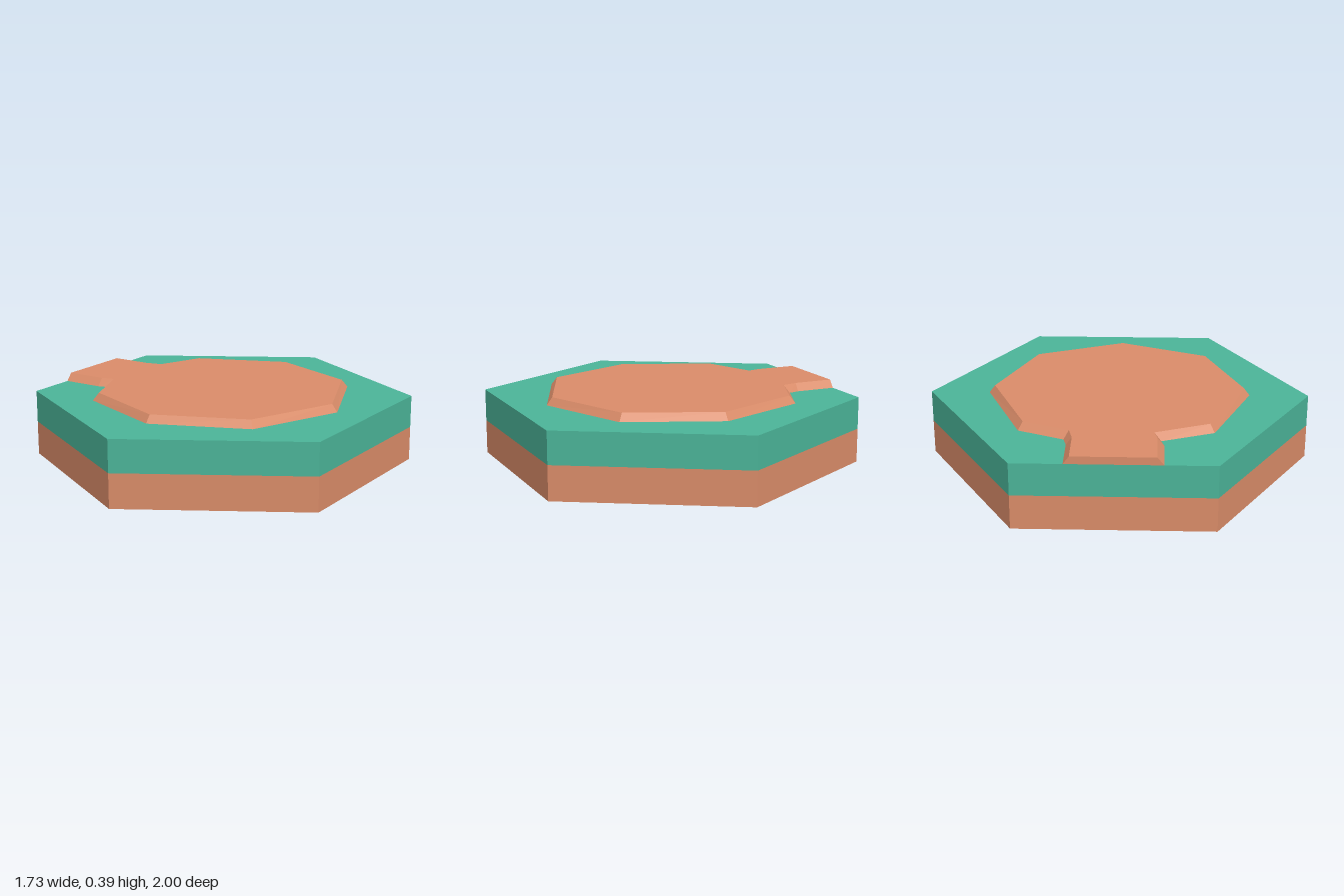
import * as THREE from 'three';

const SIDE = Math.sqrt(3) / 2; // distance from centre to a flat side of the hexagon
const BASE_H = 0.18, GRASS_H = 0.35, PATH_H = 0.39;

// Matching foot and top outlines of the raised path as [x, z], counterclockwise from above
const foot = [
  [-SIDE, 0.24], [-0.65, 0.24], [-0.595, 0.225], [-0.49, 0.49], [0, 0.69], [0.49, 0.49], [0.69, 0],
  [0.49, -0.49], [0, -0.69], [-0.49, -0.49], [-0.59, -0.255], [-0.65, -0.24], [-SIDE, -0.24],
];
const top = [
  [-SIDE, 0.207], [-0.65, 0.207], [-0.58, 0.19], [-0.467, 0.467], [0, 0.66], [0.467, 0.467], [0.66, 0],
  [0.467, -0.467], [0, -0.66], [-0.467, -0.467], [-0.565, -0.23], [-0.65, -0.21], [-SIDE, -0.21],
];

function hexSlab(name, y0, y1, material) {
  const geometry = new THREE.CylinderGeometry(1, 1, y1 - y0, 6).toNonIndexed();
  geometry.computeVertexNormals();
  const mesh = new THREE.Mesh(geometry, material);
  mesh.position.y = (y0 + y1) / 2;
  mesh.name = name;
  return mesh;
}

// Sloping band between the two outlines, including the vertical end at the tile edge
function bankGeometry() {
  const positions = [];
  for (let i = 0; i < foot.length; i++) {
    const j = (i + 1) % foot.length;
    const at = (p, y) => [p[0], y, p[1]];
    const a = at(foot[i], GRASS_H), b = at(foot[j], GRASS_H);
    const c = at(top[j], PATH_H), d = at(top[i], PATH_H);
    positions.push(...a, ...b, ...c, ...a, ...c, ...d);
  }
  const geometry = new THREE.BufferGeometry();
  geometry.setAttribute('position', new THREE.Float32BufferAttribute(positions, 3));
  geometry.computeVertexNormals();
  return geometry;
}

export function createModel() {
  const dirt = new THREE.MeshStandardMaterial({ color: 0xda8c69, flatShading: true });
  dirt.name = 'dirt';
  const grass = new THREE.MeshStandardMaterial({ color: 0x4bb498, flatShading: true });
  grass.name = 'grass';

  const model = new THREE.Group();
  model.name = 'hexPathTile';

  // Hexagonal ground in two layers
  model.add(hexSlab('dirtBase', 0, BASE_H, dirt));
  model.add(hexSlab('grassLayer', BASE_H, GRASS_H, grass));

  // Raised clearing with a path leading to one side
  const path = new THREE.Group();
  path.name = 'raisedPath';
  const bank = new THREE.Mesh(bankGeometry(), dirt);
  bank.name = 'pathBank';
  const shape = new THREE.Shape(top.map(([x, z]) => new THREE.Vector2(x, -z)));
  const surface = new THREE.Mesh(new THREE.ShapeGeometry(shape).rotateX(-Math.PI / 2), dirt);
  surface.position.y = PATH_H;
  surface.name = 'pathSurface';
  path.add(bank, surface);
  model.add(path);

  return model;
}
